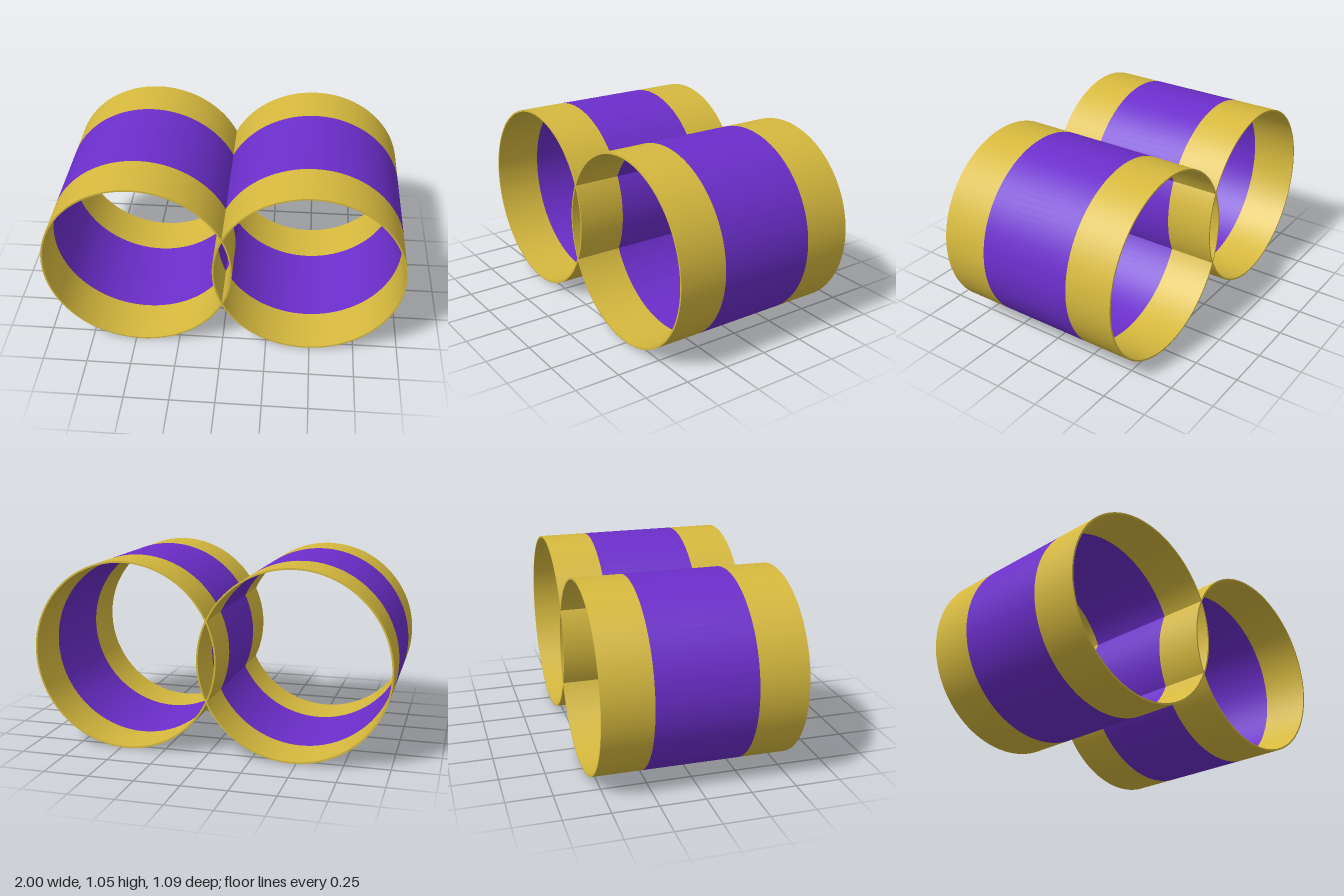
import * as THREE from 'three';
import { mergeGeometries } from 'three/addons/utils/BufferGeometryUtils.js';

const OUTER = 0.5275, INNER = 0.518, HALF = 0.545, BAND = 0.273, SPACING = 0.4725;

// Surface of revolution around z from a list of [radius, z] segments, sharp between segments
function revolve(segments) {
  const strips = segments.map(([a, b]) =>
    new THREE.LatheGeometry([new THREE.Vector2(...a), new THREE.Vector2(...b)], 96));
  return mergeGeometries(strips).rotateX(Math.PI / 2);
}

// Outer and inner wall between two depths, with an optional rim at each end
function sleeve(z0, z1, backRim, frontRim) {
  const segments = [[[OUTER, z0], [OUTER, z1]], [[INNER, z1], [INNER, z0]]];
  if (frontRim) segments.push([[OUTER, z1], [INNER, z1]]);
  if (backRim) segments.push([[INNER, z0], [OUTER, z0]]);
  return revolve(segments);
}

export function createModel() {
  const gold = new THREE.MeshStandardMaterial({ color: 0xd6b93e });
  gold.name = 'gold';
  const purple = new THREE.MeshStandardMaterial({ color: 0x6c2ecb });
  purple.name = 'purple';

  const parts = [
    ['frontBand', sleeve(BAND, HALF, false, true), gold],
    ['middleBand', sleeve(-BAND, BAND, false, false), purple],
    ['backBand', sleeve(-HALF, -BAND, true, false), gold],
  ];

  const model = new THREE.Group();
  model.name = 'twinTubes';

  // Two identical open tubes, overlapping at the middle
  for (const [name, side] of [['leftTube', 1], ['rightTube', -1]]) {
    const tube = new THREE.Group();
    tube.name = name;
    tube.position.set(side * SPACING, OUTER, 0);
    for (const [partName, geometry, material] of parts) {
      const mesh = new THREE.Mesh(geometry, material);
      mesh.name = partName;
      tube.add(mesh);
    }
    model.add(tube);
  }
  return model;
}
